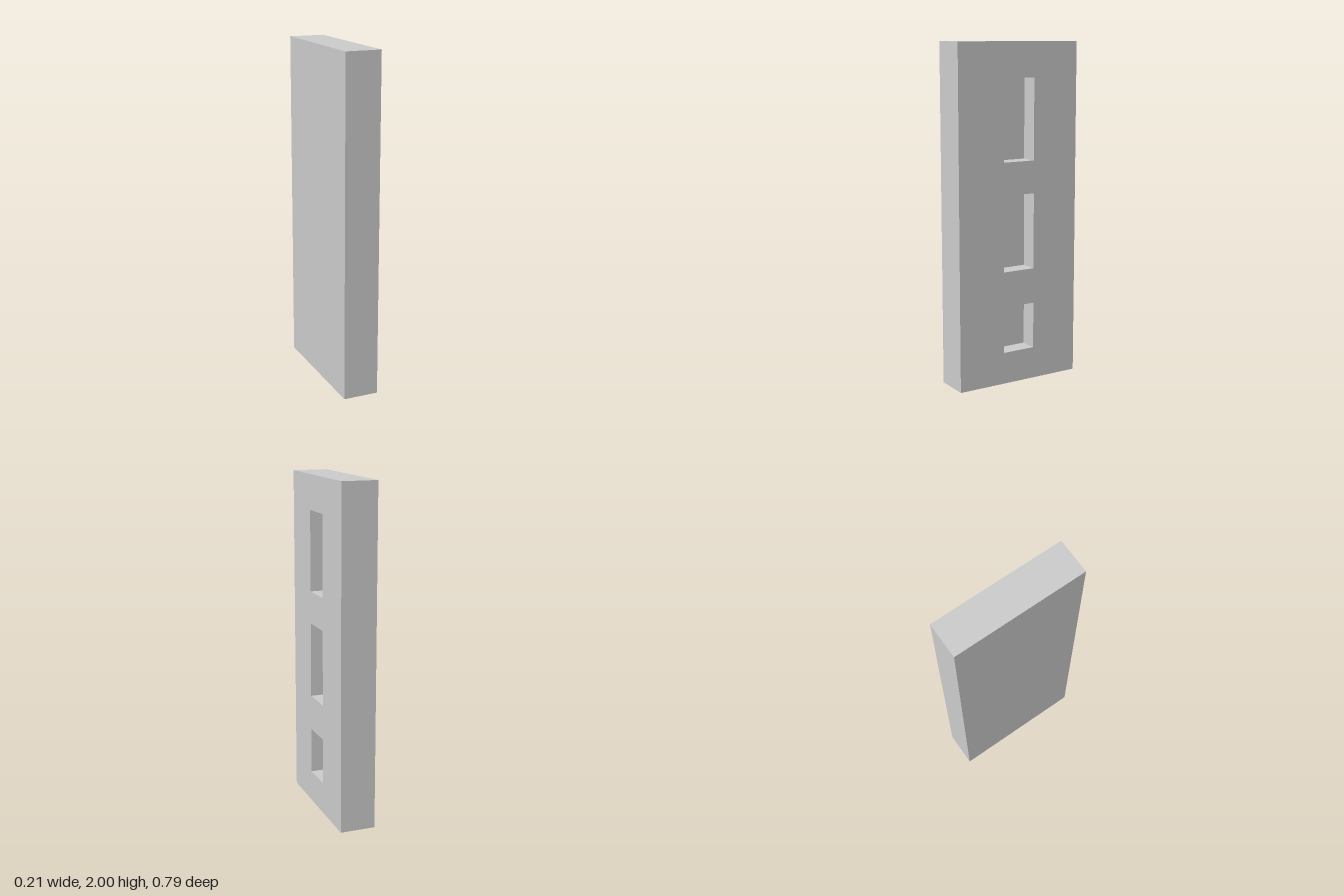
import * as THREE from 'three';
import { mergeGeometries } from 'three/addons/utils/BufferGeometryUtils.js';

const THICK = 0.21, HEIGHT = 2, DEPTH = 0.793;
const POCKET_WIDTH = 0.204, POCKET_DEPTH = 0.105;
const POCKETS = [[0.19, 0.466], [0.677, 1.126], [1.319, 1.796]]; // bottom and top heights

// Box without its +x side; inward = true turns it into a recess
function openBox(w, h, d, inward) {
  const geo = new THREE.BoxGeometry(w, h, d);
  const index = Array.from(geo.index.array).slice(6); // the first six indices are the +x side
  geo.setIndex(inward ? index.reverse() : index);
  geo.clearGroups();
  geo.computeVertexNormals();
  return geo;
}

function rectangle(PathType, halfWidth, y0, y1) {
  return new PathType([
    new THREE.Vector2(-halfWidth, y0), new THREE.Vector2(halfWidth, y0),
    new THREE.Vector2(halfWidth, y1), new THREE.Vector2(-halfWidth, y1),
  ]);
}

export function createModel() {
  const group = new THREE.Group();
  group.name = 'pocketedSlab';

  // Outer shell, open on the pocketed side
  const parts = [openBox(THICK, HEIGHT, DEPTH, false).translate(0, HEIGHT / 2, 0)];

  // Pocketed side face with three openings, and the blind recess behind each
  const face = rectangle(THREE.Shape, DEPTH / 2, 0, HEIGHT);
  for (const [y0, y1] of POCKETS) {
    face.holes.push(rectangle(THREE.Path, POCKET_WIDTH / 2, y0, y1));
    parts.push(openBox(POCKET_DEPTH, y1 - y0, POCKET_WIDTH, true)
      .translate(THICK / 2 - POCKET_DEPTH / 2, (y0 + y1) / 2, 0));
  }
  parts.push(new THREE.ShapeGeometry(face).rotateY(Math.PI / 2).translate(THICK / 2, 0, 0));

  const slab = new THREE.Mesh(
    mergeGeometries(parts),
    new THREE.MeshStandardMaterial({ color: 0xcccccc, flatShading: true }),
  );
  slab.name = 'slab';
  group.add(slab);
  return group;
}
